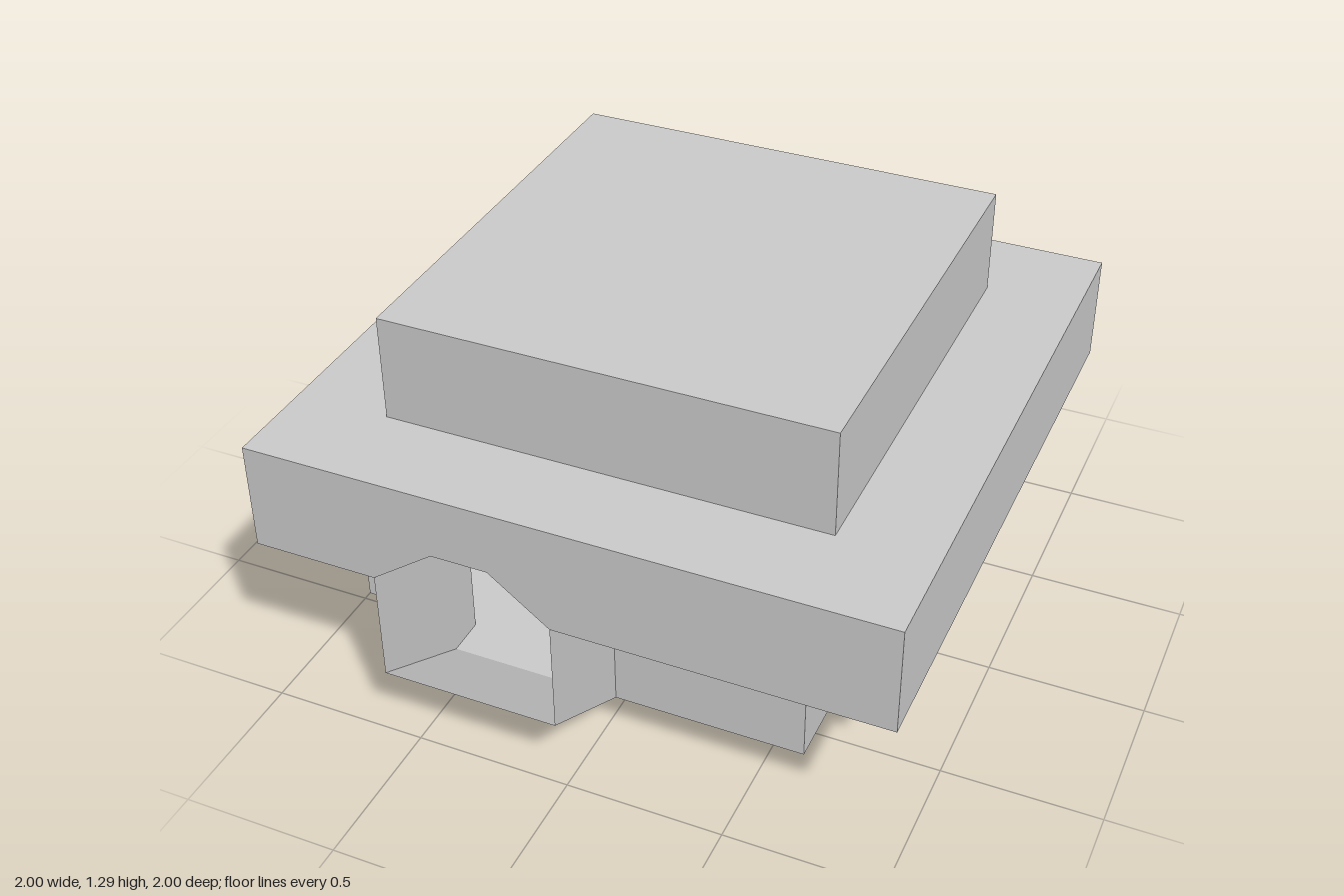
import * as THREE from 'three';
import { toCreasedNormals } from 'three/addons/utils/BufferGeometryUtils.js';

const material = new THREE.MeshStandardMaterial({ color: 0xcccccc, side: THREE.DoubleSide });

function add(parent, name, geometry) {
  const mesh = new THREE.Mesh(geometry, material);
  mesh.name = name;
  parent.add(mesh);
  return mesh;
}

const outline = (points) => points.map(([a, b]) => new THREE.Vector2(a, b));
const rect = (a0, a1, b0, b1) => [[a0, b0], [a1, b0], [a1, b1], [a0, b1]];

// Flat sheet: axis is its normal; points are (x, y), (z, y) or (x, z)
function panel(axis, at, points, holes = []) {
  const shape = new THREE.Shape(outline(points));
  holes.forEach((hole) => shape.holes.push(new THREE.Path(outline(hole))));
  const geometry = new THREE.ShapeGeometry(shape);
  if (axis === 'x') geometry.rotateY(-Math.PI / 2).translate(at, 0, 0);
  if (axis === 'y') geometry.rotateX(Math.PI / 2).translate(0, at, 0);
  if (axis === 'z') geometry.translate(0, 0, at);
  return geometry;
}

// Open sheet swept along x or z from a profile of (z, y) or (x, y) points
function sweep(axis, from, to, profile) {
  const positions = [];
  const corner = ([a, b], d) => (axis === 'x' ? [d, b, a] : [a, b, d]);
  for (let i = 0; i < profile.length - 1; i++) {
    const [p, q] = [profile[i], profile[i + 1]];
    const quad = [corner(p, from), corner(q, from), corner(q, to), corner(p, to)];
    [0, 1, 2, 0, 2, 3].forEach((k) => positions.push(...quad[k]));
  }
  const geometry = new THREE.BufferGeometry();
  geometry.setAttribute('position', new THREE.Float32BufferAttribute(positions, 3));
  geometry.computeVertexNormals();
  return toCreasedNormals(geometry, 0.6);
}

// Closed outline of an arched duct centred on z
function archProfile(z, radius = 0.175, spring = 0.32) {
  const points = [[z - radius, 0], [z + radius, 0]];
  for (let i = 0; i <= 6; i++) {
    const t = (i / 6) * Math.PI;
    points.push([z + radius * Math.cos(t), spring + radius * Math.sin(t)]);
  }
  return points;
}

// Half of the hollow base; the other half is the same turned around y
function createHalf() {
  const half = new THREE.Group();
  const [x0, x1] = [-0.6, -0.03];
  const hood = [[x0, 0.6], [-0.4, 0.745], [-0.22, 0.745], [x1, 0.6]];
  const cheek = [[0.6, 0], [1, 0.23], [1, 0.6], [0.6, 0.6]];

  add(half, 'bodyWall', panel('z', 0.6, rect(x1, 0.6, 0, 0.6)));
  add(half, 'chuteOuterCheek', panel('x', x0, cheek));
  add(half, 'chuteInnerCheek', panel('x', x1, cheek));
  add(half, 'chuteRamp', sweep('x', x0, x1, [[0.6, 0], [1, 0.23]]));
  add(half, 'chuteHood', sweep('z', 0.6, 1, hood));

  // Slab wall notched around the chute mouth
  add(half, 'slabWall', panel('z', 1, [[-1, 0.6], ...hood, [1, 0.6], [1, 0.95], [-1, 0.95]]));

  // Underside of the slab around the body
  [rect(x1, 1, 0.6, 1), rect(-1, x0, 0.6, 1), rect(0.6, 1, -0.6, 0.6)].forEach((r) =>
    add(half, 'slabUnderside', panel('y', 0.6, r)));
  return half;
}

export function createModel() {
  const model = new THREE.Group();
  model.name = 'steppedHousing';

  // Raised top block
  add(model, 'topBlock', new THREE.BoxGeometry(1.4, 0.34, 1.4)).position.y = 1.12;

  // Hollow slab, open on its right side
  add(model, 'slabTop', panel('y', 0.95, rect(-1, 1, -1, 1)));
  add(model, 'slabLeftWall', panel('x', 1, rect(-1, 1, 0.6, 0.95)));

  // Two matching halves with the chutes
  const front = createHalf();
  front.name = 'frontHalf';
  const back = createHalf();
  back.name = 'backHalf';
  back.rotation.y = Math.PI;
  model.add(front, back);

  // Body floor and side walls
  add(model, 'bodyFloor', panel('y', 0, rect(-0.6, 0.6, -0.6, 0.6)));
  const ductZ = [-0.3, 0.295];
  const nozzleZ = [-0.45, 0.45];
  const ring = (z, r) => Array.from({ length: 12 }, (_, i) => {
    const t = (i / 12) * Math.PI * 2;
    return [z + r * Math.cos(t), 0.26 + r * Math.sin(t)];
  });
  // The duct openings reach the floor, so they are cut into the wall outline
  const ductWall = [[-0.6, 0]];
  ductZ.forEach((z) => {
    const arch = archProfile(z);
    ductWall.push(arch[0], ...arch.slice(2).reverse(), arch[1]);
  });
  ductWall.push([0.6, 0], [0.6, 0.6], [-0.6, 0.6]);
  add(model, 'ductWall', panel('x', -0.6, ductWall));
  add(model, 'nozzleWall', panel('x', 0.6, rect(-0.6, 0.6, 0, 0.6), nozzleZ.map((z) => ring(z, 0.1))));

  // Arched ducts
  ductZ.forEach((z) => {
    const profile = archProfile(z);
    add(model, 'archedDuct', sweep('x', -1, -0.6, [...profile, profile[0]]));
  });

  // Nozzles with a recessed collar and a small tray
  nozzleZ.forEach((z) => {
    const nozzle = toCreasedNormals(new THREE.CylinderGeometry(0.078, 0.078, 0.07, 12), 0.6);
    add(model, 'nozzle', nozzle.rotateZ(-Math.PI / 2).translate(0.597, 0.26, z));
    const collar = new THREE.CylinderGeometry(0.1, 0.078, 0.03, 12, 1, true);
    add(model, 'nozzleCollar', collar.rotateZ(-Math.PI / 2).translate(0.585, 0.26, z));
    add(model, 'nozzleTray', panel('y', 0.182, rect(0.6, 0.78, z - 0.08, z + 0.08)));
  });

  return model;
}
